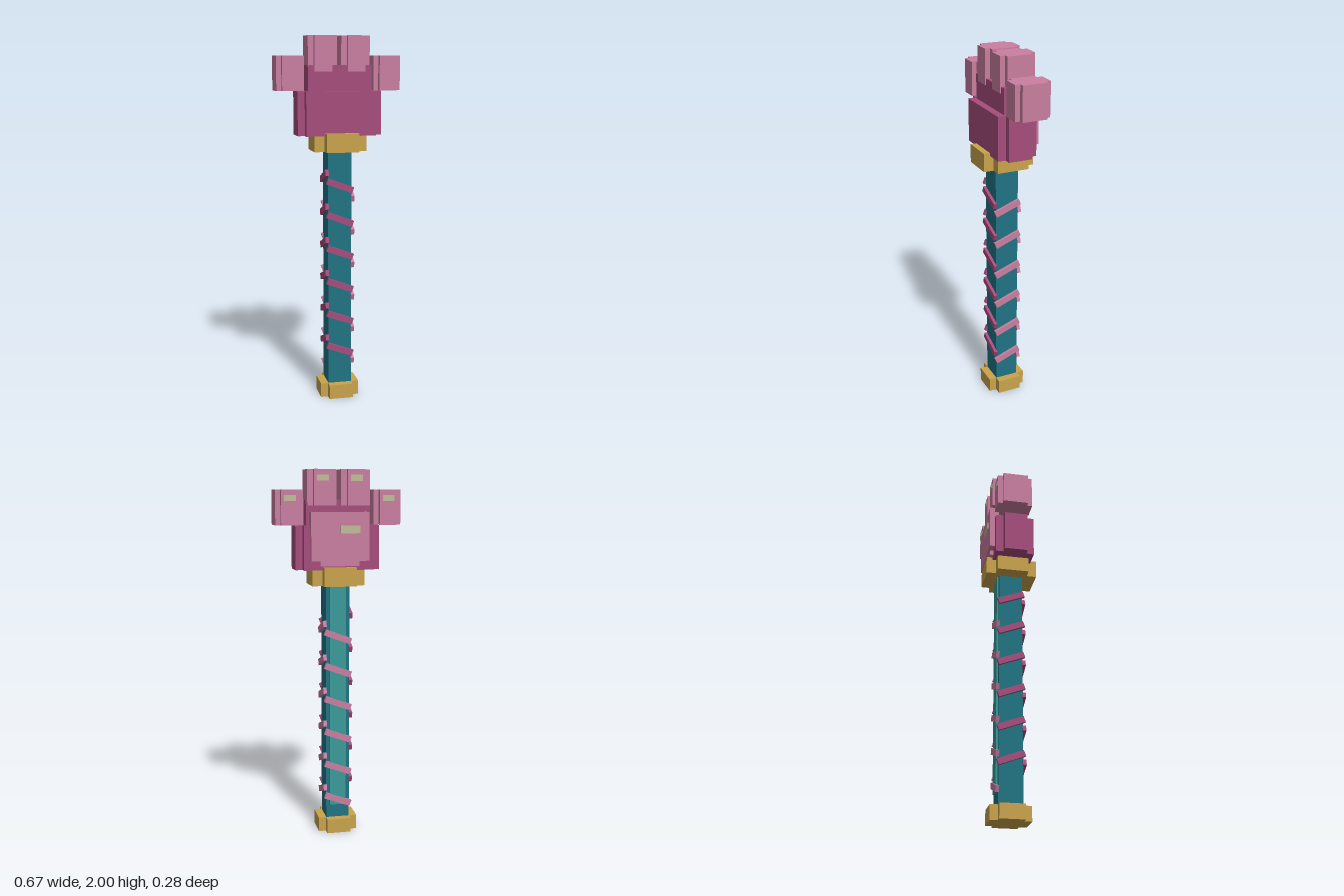
import * as THREE from 'three';

const mat = (name, color) => {
  const m = new THREE.MeshStandardMaterial({ color });
  m.name = name;
  return m;
};

export function createModel() {
  const root = new THREE.Group();
  root.name = 'pawWand';
  const teal = mat('teal', 0x217383);
  const lightTeal = mat('lightTeal', 0x3a9a98);
  const gold = mat('gold', 0xc9a44c);
  const plum = mat('plum', 0xa64d7c);
  const pink = mat('pink', 0xc97fa0);
  const cream = mat('cream', 0xc0bc98);

  // Box given by its extents along each axis
  const box = (name, m, [x0, x1], [y0, y1], [z0, z1], parent = root) => {
    const mesh = new THREE.Mesh(new THREE.BoxGeometry(x1 - x0, y1 - y0, z1 - z0), m);
    mesh.position.set((x0 + x1) / 2, (y0 + y1) / 2, (z0 + z1) / 2);
    mesh.name = name;
    parent.add(mesh);
    return mesh;
  };
  const sym = (v) => [-v, v];

  // Block with notched corners: two crossing boxes
  const notched = (name, m, wide, narrow, y) => {
    const g = new THREE.Group();
    g.name = name;
    box(name + 'Across', m, wide[0], y, wide[1], g);
    box(name + 'Along', m, narrow[0], y, narrow[1], g);
    root.add(g);
  };

  // Handle
  notched('base', gold, [sym(0.108), sym(0.067)], [sym(0.067), sym(0.108)], [0, 0.08]);
  box('shaft', teal, sym(0.065), [0.08, 1.39], sym(0.065));
  box('shaftStrip', lightTeal, sym(0.045), [0.155, 1.39], [-0.075, -0.065]);
  notched('collar', gold, [sym(0.142), sym(0.088)], [sym(0.088), sym(0.142)], [1.39, 1.49]);

  // Slanted wrap bars stepping round the shaft, one face at a time
  for (let i = 0; i < 24; i++) {
    const side = (i + 3) % 4; // 0 front, 1 left, 2 back, 3 right
    const face = new THREE.Group();
    face.name = 'wrap';
    face.rotation.y = side * Math.PI / 2;
    face.position.y = 1.25 - i * 0.0463;
    const bar = box('wrapBar', side === 1 || side === 2 ? pink : plum,
      sym(0.076), sym(0.017), [0.062, 0.081], face);
    bar.rotation.z = side % 2 ? 0.36 : -0.36;
    root.add(face);
  }

  // Palm
  notched('palm', plum, [sym(0.228), sym(0.065)], [sym(0.19), sym(0.108)], [1.475, 1.71]);
  box('upperPalm', plum, sym(0.173), [1.71, 1.845], [-0.075, 0.068]);

  // Palm pad on the back with its highlight
  box('palmPad', pink, sym(0.156), [1.525, 1.78], [-0.137, -0.07]);
  box('palmPadLower', pink, sym(0.105), [1.497, 1.53], [-0.127, -0.07]);
  box('palmPadShine', cream, [-0.105, 0], [1.67, 1.71], [-0.142, -0.136]);

  // Toes with highlights
  for (const [x, y0, y1] of [[0.09, 1.813, 2], [0.263, 1.712, 1.896]]) {
    for (const s of [-1, 1]) {
      const c = x * s;
      const around = (v) => [c - v, c + v];
      notched('toe', pink, [around(x > 0.2 ? 0.074 : 0.078), [-0.092, 0.046]],
        [around(0.047), [-0.12, 0.074]], [y0, y1]);
      box('toeShine', cream, around(0.031), [y1 - 0.06, y1 - 0.028], [-0.124, -0.119]);
    }
  }
  return root;
}
